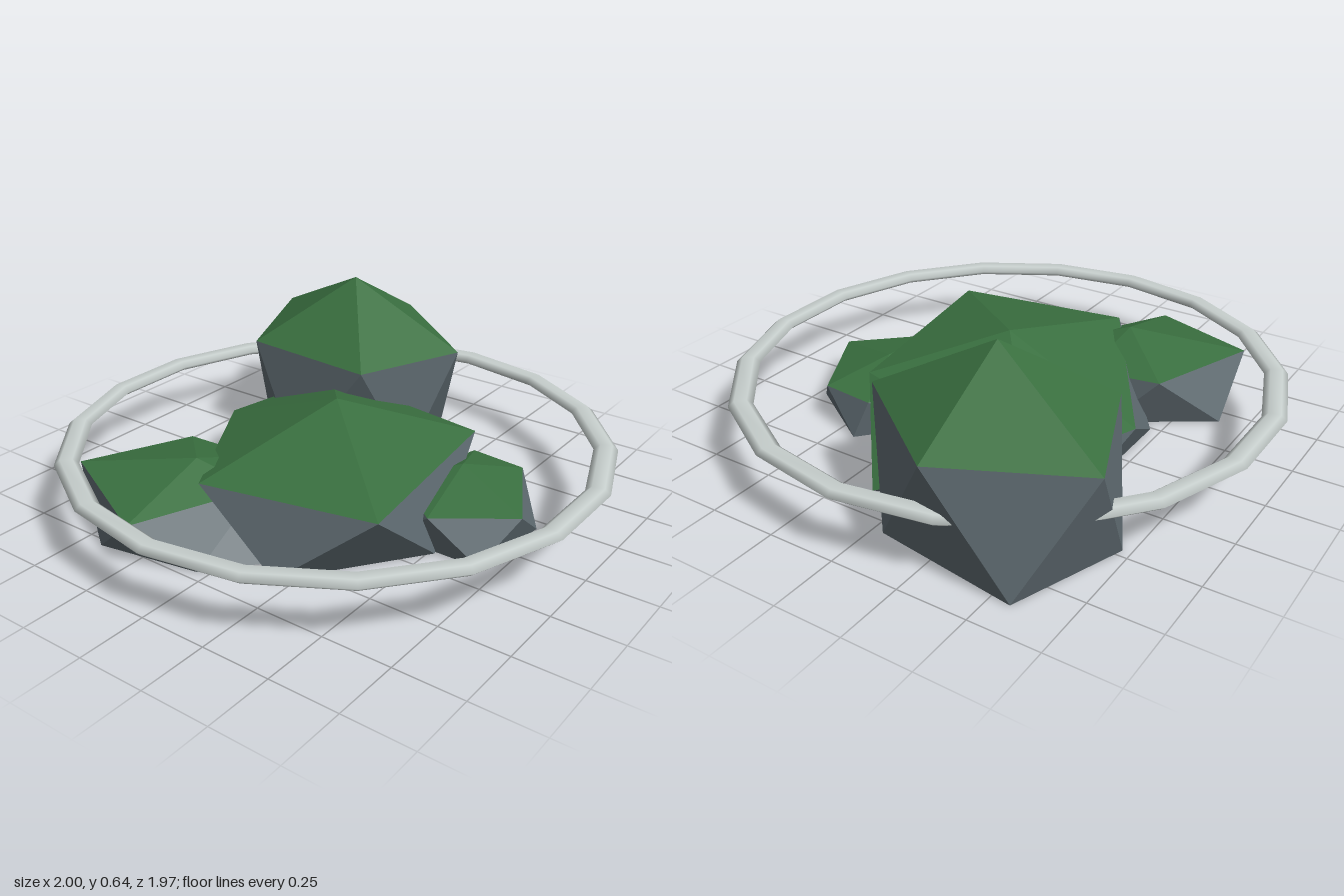
import * as THREE from 'three';

const stone = new THREE.MeshStandardMaterial({ color: 0x5f6b71 });
const moss = new THREE.MeshStandardMaterial({ color: 0x3a7040 });
const foam = new THREE.MeshStandardMaterial({ color: 0xc8d0ce });
stone.name = 'stone';
moss.name = 'moss';
foam.name = 'foam';

// Flat-shaded mesh from a list of triangles
function facets(name, triangles, material) {
  const geometry = new THREE.BufferGeometry();
  geometry.setAttribute('position', new THREE.Float32BufferAttribute(triangles.flat(2), 3));
  geometry.computeVertexNormals();
  const mesh = new THREE.Mesh(geometry, material);
  mesh.name = name;
  return mesh;
}

// Faceted boulder: apex, upper ring [x, y, z], ground ring [x, z] set between
// the upper corners; mossySides lists side faces that are also green
function boulder({ name, apex, upper, ground, mossySides = [] }) {
  const green = [], grey = [];
  const n = upper.length;
  const low = ground.map(([x, z]) => [x, 0, z]);
  const base = [0, 1, 2].map(k => low.reduce((sum, p) => sum + p[k], 0) / n);
  for (let i = 0; i < n; i++) {
    const j = (i + 1) % n;
    green.push([apex, upper[i], upper[j]]);
    (mossySides.includes(i) ? green : grey).push([upper[i], low[i], upper[j]]);
    grey.push([upper[j], low[i], low[j]], [base, low[j], low[i]]);
  }
  const group = new THREE.Group();
  group.name = name;
  group.add(facets(name + 'Stone', grey, stone), facets(name + 'Moss', green, moss));
  return group;
}

const boulders = [
  {
    name: 'centreBoulder',
    apex: [0, 0.38, 0],
    upper: [[-0.46, 0.25, 0.5], [0.32, 0.24, 0.39], [0.5, 0.2, -0.4], [0.05, 0.17, -0.54], [-0.58, 0.24, -0.14]],
    ground: [[-0.15, 0.52], [0.63, 0.14], [0.36, -0.46], [-0.24, -0.46], [-0.6, 0.19]],
    mossySides: [1],
  },
  {
    name: 'tallBoulder',
    apex: [0.53, 0.64, -0.3],
    upper: [[0.6, 0.4, 0.14], [0.94, 0.41, -0.3], [0.71, 0.41, -0.77], [0.23, 0.4, -0.57], [0.19, 0.4, -0.03]],
    ground: [[0.8, -0.04], [0.88, -0.57], [0.47, -0.72], [0.15, -0.32], [0.4, 0.05]],
  },
  {
    name: 'backBoulder',
    apex: [-0.48, 0.265, -0.24],
    upper: [[-0.42, 0.19, -0.02], [-0.22, 0.18, -0.2], [-0.25, 0.19, -0.48], [-0.65, 0.2, -0.64], [-0.84, 0.17, -0.22]],
    ground: [[-0.42, 0.2], [-0.2, -0.3], [-0.43, -0.65], [-0.78, -0.42], [-0.71, -0.04]],
  },
  {
    name: 'frontBoulder',
    apex: [0.12, 0.21, 0.46],
    upper: [[0.01, 0.14, 0.755], [0.34, 0.14, 0.58], [0.36, 0.14, 0.37], [0, 0.15, 0.27], [-0.19, 0.15, 0.51]],
    ground: [[0.2, 0.72], [0.395, 0.42], [0.17, 0.22], [-0.14, 0.33], [-0.14, 0.68]],
  },
];

export function createModel() {
  const model = new THREE.Group();
  model.name = 'rockCluster';
  boulders.forEach(b => model.add(boulder(b)));

  // Flattened foam ring around the rocks
  const ringGeometry = new THREE.TorusGeometry(0.957, 0.043, 6, 18);
  ringGeometry.rotateX(-Math.PI / 2);
  ringGeometry.scale(1, 0.5, 1);
  ringGeometry.translate(0, 0.23, 0);
  const ring = new THREE.Mesh(ringGeometry, foam);
  ring.name = 'foamRing';
  model.add(ring);
  return model;
}
